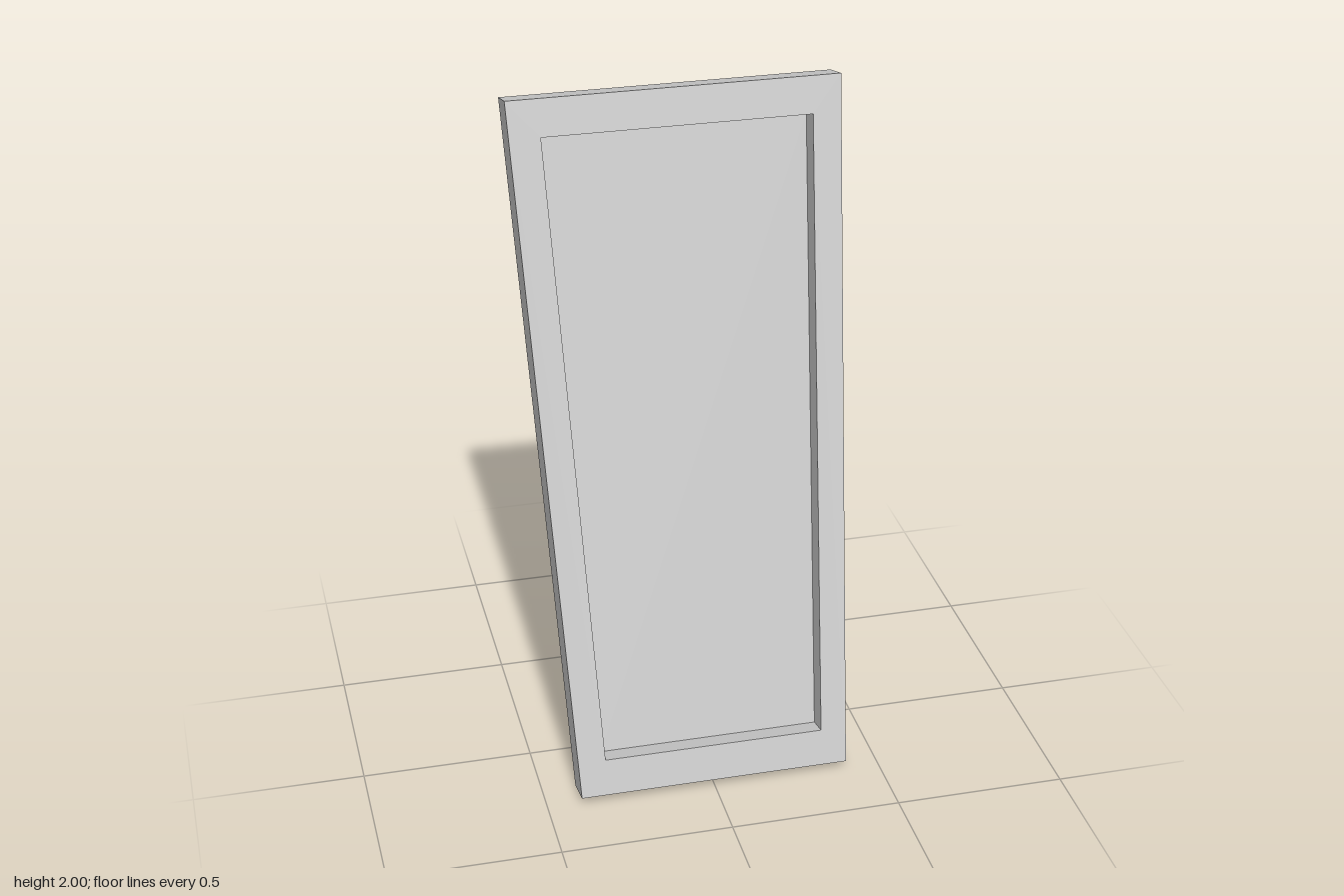
import * as THREE from 'three';

const material = new THREE.MeshStandardMaterial({
  color: 0xcccccc, flatShading: true, side: THREE.DoubleSide,
});
const DEPTH = 0.105;   // depth of the outer casing
const RECESS = 0.072;  // how far the panel sits behind the face
const LEAN = 0.2436;   // backward tilt in radians

// Corners in the face plane: bottom left, bottom right, top right, top left
const corners = (points) => points.map(([x, y]) => new THREE.Vector2(x, y));
const outer = corners([[-0.4, 0], [0.4, 0], [0.475, 2.035], [-0.475, 2.035]]);
const inner = corners([[-0.323, 0.108], [0.328, 0.108], [0.389, 1.928], [-0.382, 1.928]]);

function addMesh(parent, name, geometry) {
  const mesh = new THREE.Mesh(geometry, material);
  mesh.name = name;
  parent.add(mesh);
  return mesh;
}

// Flat strip running back from the edge a-b of the face
function wall(a, b, depth) {
  const geometry = new THREE.BufferGeometry();
  geometry.setAttribute('position', new THREE.Float32BufferAttribute([
    a.x, a.y, 0, a.x, a.y, -depth, b.x, b.y, -depth, b.x, b.y, 0,
  ], 3));
  geometry.setIndex([0, 1, 2, 0, 2, 3]);
  geometry.computeVertexNormals();
  return geometry;
}

export function createModel() {
  const model = new THREE.Group();
  model.name = 'leaningFrame';

  const frame = new THREE.Group();
  frame.name = 'frame';
  frame.rotation.x = -LEAN;
  frame.position.set(0, DEPTH * Math.sin(LEAN), 0.2965);
  model.add(frame);

  // Tapered face with its opening
  const face = new THREE.Shape(outer);
  face.holes.push(new THREE.Path(inner));
  addMesh(frame, 'frontFace', new THREE.ShapeGeometry(face));

  // Recessed panel behind the opening
  const panel = addMesh(frame, 'panel', new THREE.ShapeGeometry(new THREE.Shape(inner)));
  panel.position.z = -RECESS;

  // Outer casing: sides and top, open at the bottom and back
  ['leftSide', 'top', 'rightSide'].forEach((name, i) => {
    addMesh(frame, name, wall(outer[i + 1], outer[(i + 2) % 4], DEPTH));
  });

  // Opening returns: bottom and sides, with a slot left at the top
  [['bottomLedge', 0], ['leftReturn', 1], ['rightReturn', 3]].forEach(([name, i]) => {
    addMesh(frame, name, wall(inner[(i + 1) % 4], inner[i], RECESS));
  });

  return model;
}
